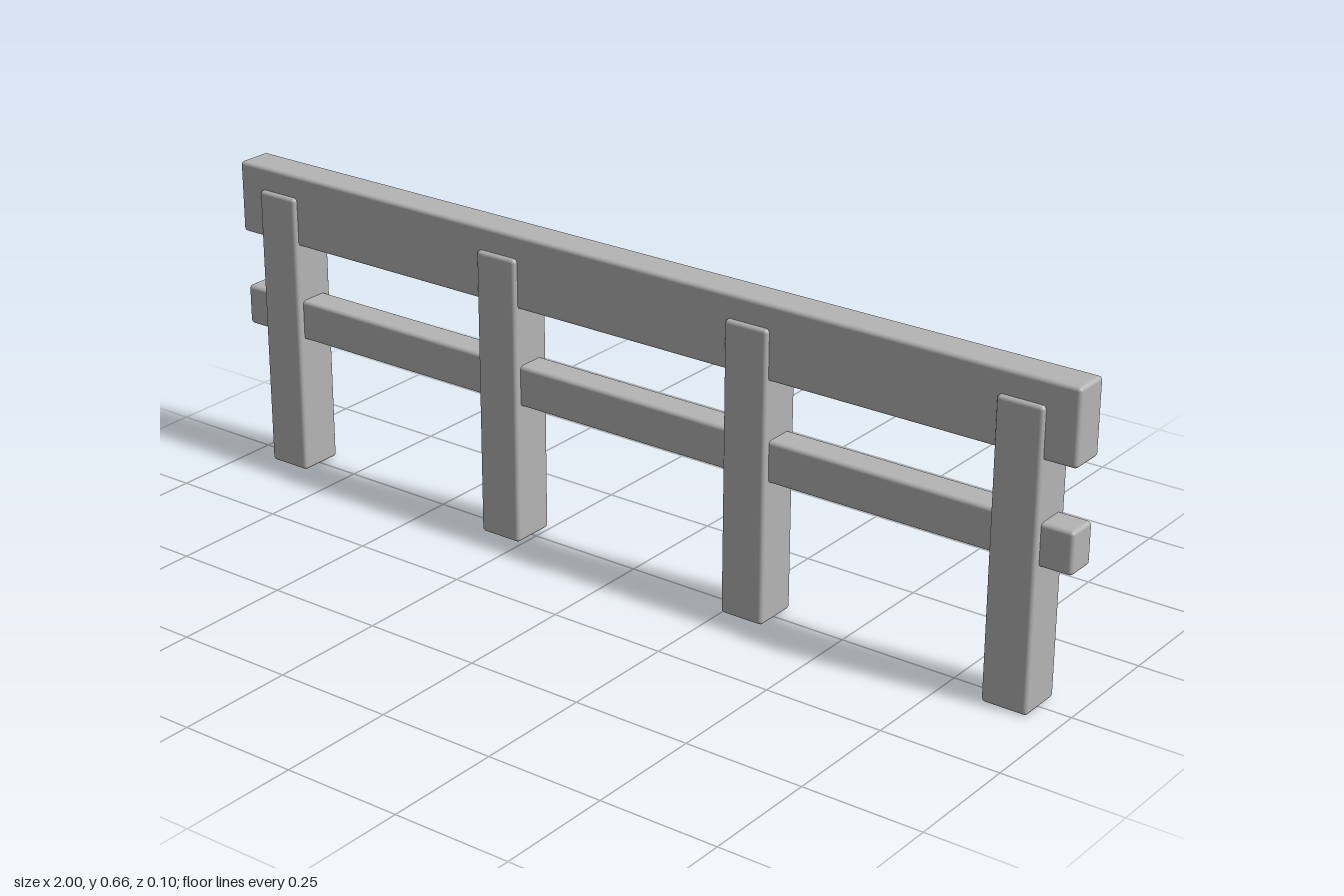
import * as THREE from 'three';
import { RoundedBoxGeometry } from 'three/addons/geometries/RoundedBoxGeometry.js';

export function createModel() {
  const fence = new THREE.Group();
  fence.name = 'fence';
  const grey = new THREE.MeshStandardMaterial({ color: 0xb4b4b4 });
  grey.name = 'plain grey';

  // Softly rounded beam, placed by its centre
  function beam(name, size, position) {
    const mesh = new THREE.Mesh(new RoundedBoxGeometry(...size, 3, 0.008), grey);
    mesh.name = name;
    mesh.position.set(...position);
    fence.add(mesh);
  }

  // Two long rails: a tall top board and a slimmer middle bar
  beam('topRail', [2, 0.154, 0.077], [0, 0.584, 0.001]);
  beam('middleRail', [2, 0.087, 0.066], [0, 0.3405, 0.001]);

  // Four upright posts, wrapping the rails
  [-0.891, -0.305, 0.297, 0.885].forEach((x, i) => {
    beam('post' + (i + 1), [0.097, 0.612, 0.098], [x, 0.306, 0]);
  });

  return fence;
}
